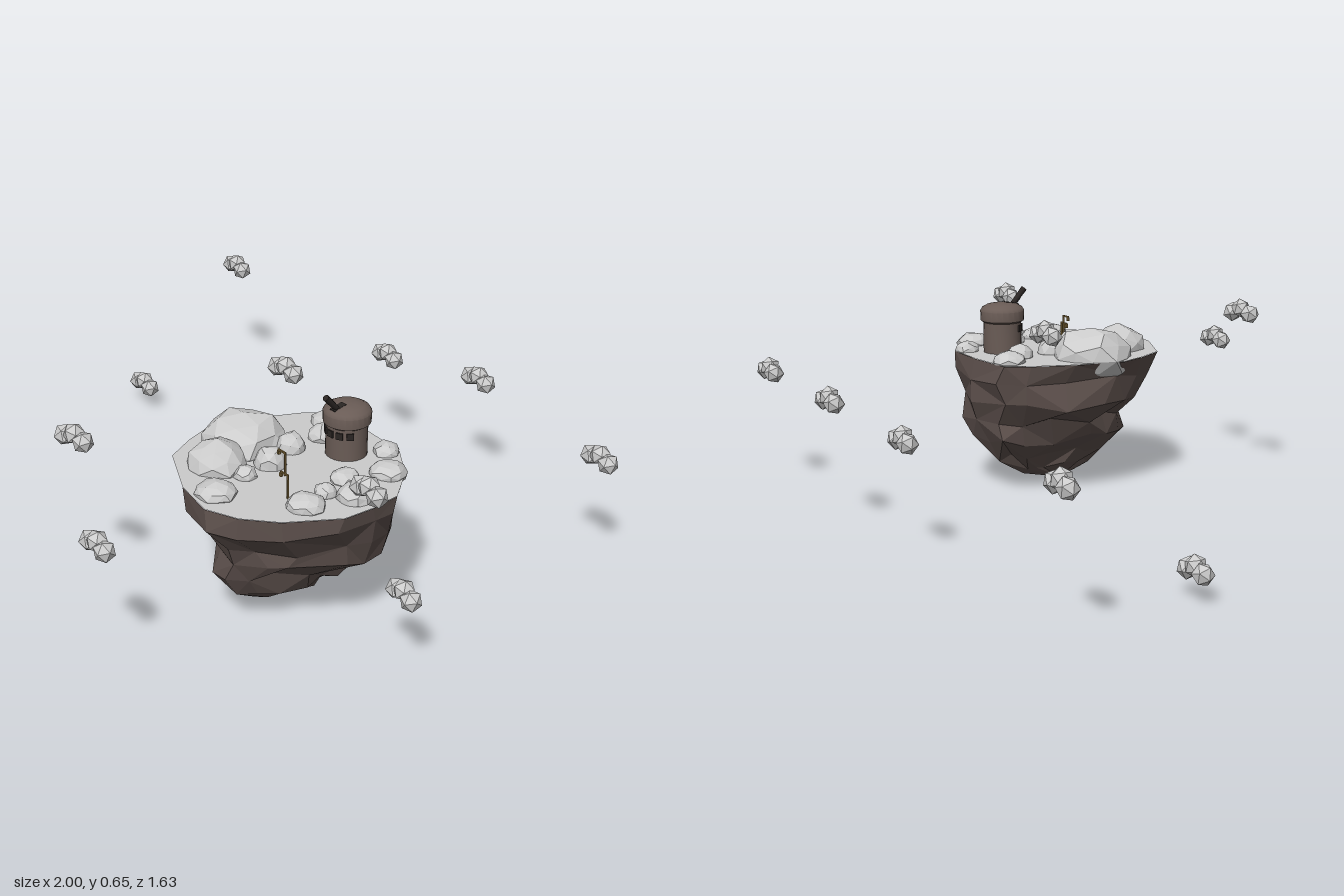
import * as THREE from 'three';
import { toCreasedNormals } from 'three/addons/utils/BufferGeometryUtils.js';

const mat = (color, extra = {}) => new THREE.MeshStandardMaterial({ color, ...extra });
const greyFacet = mat(0xcccccc, { flatShading: true });
const rockMat = mat(0x5f524e, { flatShading: true });
const hutMat = mat(0x6a5c56);
const darkMat = mat(0x2a2523);
const woodMat = mat(0x7a6438);

// Seeded noise in -1..1
function makeRandom(seed) {
  return () => {
    seed = (seed * 16807) % 2147483647;
    return (seed / 2147483647) * 2 - 1;
  };
}

function add(parent, name, geometry, material, x = 0, y = 0, z = 0) {
  const mesh = new THREE.Mesh(geometry, material);
  mesh.name = name;
  mesh.position.set(x, y, z);
  parent.add(mesh);
  return mesh;
}

const GROUND = 0.44;

// Rim of the island, [x, z], clockwise from above
const RIM = [[0.25, -0.2], [0.42, -0.205], [0.57, -0.19], [0.68, -0.11], [0.765, 0], [0.775, 0.1],
  [0.77, 0.2], [0.68, 0.35], [0.59, 0.43], [0.49, 0.47], [0.35, 0.44], [0.18, 0.35],
  [0.13, 0.25], [0.1, 0.16], [0.14, 0], [0.2, -0.13]];

// Rock levels: y, xMin, xMax, zMin, zMax
const LEVELS = [[GROUND, 0.1, 0.775, -0.205, 0.47], [0.375, 0.12, 0.765, -0.2, 0.46],
  [0.3, 0.13, 0.74, -0.195, 0.385], [0.235, 0.22, 0.7, -0.19, 0.365],
  [0.165, 0.25, 0.6, -0.16, 0.37], [0.1, 0.325, 0.55, -0.11, 0.31],
  [0.05, 0.365, 0.49, -0.04, 0.235]];

function islandRock() {
  const random = makeRandom(77);
  const rings = LEVELS.map(([y, x0, x1, z0, z1], level) => RIM.map(([px, pz]) => {
    const j = level === 0 ? 0 : 0.018;
    return [
      x0 + (x1 - x0) * (px - 0.1) / 0.675 + random() * j,
      y + random() * j,
      z0 + (z1 - z0) * (pz + 0.205) / 0.675 + random() * j,
    ];
  }));
  const tip = [0.417, 0, 0.12];
  const points = [];
  const n = RIM.length;
  for (let r = 0; r < rings.length; r++) {
    for (let i = 0; i < n; i++) {
      const k = (i + 1) % n;
      const a = rings[r][i], b = rings[r][k];
      if (r === rings.length - 1) {
        points.push(...a, ...b, ...tip);
        continue;
      }
      const c = rings[r + 1][i], d = rings[r + 1][k];
      if ((i + r) % 2) points.push(...a, ...b, ...c, ...b, ...d, ...c);
      else points.push(...a, ...b, ...d, ...a, ...d, ...c);
    }
  }
  const geometry = new THREE.BufferGeometry();
  geometry.setAttribute('position', new THREE.Float32BufferAttribute(points, 3));
  geometry.computeVertexNormals();
  return geometry;
}

// Faceted mound, roughened by a rule on the vertex position
function moundGeometry(rx, ry, rz, seed) {
  const geometry = new THREE.IcosahedronGeometry(1, 1);
  const p = geometry.attributes.position;
  for (let i = 0; i < p.count; i++) {
    const x = p.getX(i), y = p.getY(i), z = p.getZ(i);
    const s = 1 + 0.09 * Math.sin(5 * x + seed) * Math.cos(4 * z + 2 * seed + 3 * y);
    p.setXYZ(i, x * s * rx, y * s * ry, z * s * rz);
  }
  geometry.computeVertexNormals();
  return geometry;
}

// Mounds: x, z, radius, height
const MOUNDS = [[0.235, 0.125, 0.13, 0.09], [0.305, 0.28, 0.09, 0.075], [0.44, 0.39, 0.062, 0.035],
  [0.4, 0.16, 0.048, 0.055], [0.36, 0.05, 0.045, 0.05], [0.36, -0.07, 0.045, 0.04],
  [0.3, -0.15, 0.055, 0.035], [0.65, 0.24, 0.058, 0.035], [0.7, 0.1, 0.055, 0.04],
  [0.6, 0.05, 0.045, 0.03], [0.65, -0.07, 0.055, 0.035], [0.55, -0.155, 0.04, 0.03],
  [0.63, 0.15, 0.035, 0.03], [0.41, 0.26, 0.035, 0.03]];

// Clouds: x, y, z, turn
const CLOUDS = [[-0.932, 0.405, -0.775, -0.15], [-0.097, 0.35, -0.76, -0.12], [0.297, 0.4, -0.79, -0.08],
  [0.89, 0.385, -0.705, -0.1], [-0.88, 0.085, -0.31, -0.08], [0.118, 0.56, -0.13, 0],
  [0.93, 0.25, 0.118, -0.2], [0.845, 0.56, 0.185, -0.1], [0.095, 0.56, 0.632, 0.18],
  [0.417, 0.41, 0.78, -0.06]];

function cloud(x, y, z, turn) {
  const group = new THREE.Group();
  group.name = 'cloud';
  for (const side of [-1, 0, 1]) {
    const puff = add(group, 'cloudPuff', new THREE.IcosahedronGeometry(0.033, 0), greyFacet,
      side * 0.037, side ? -0.006 : 0.009, 0);
    puff.rotation.set(side * 0.5, side * 0.7, 0.3);
  }
  group.position.set(x, y, z);
  group.rotation.y = turn;
  return group;
}

function hut() {
  const group = new THREE.Group();
  group.name = 'hut';
  // Round wall, overhanging rim and low domed roof
  const profile = [[0, 0], [0.062, 0], [0.062, 0.1], [0.071, 0.106], [0.072, 0.138],
    [0.066, 0.148], [0.05, 0.157], [0.025, 0.162], [0, 0.163]].map(([x, y]) => new THREE.Vector2(x, y));
  add(group, 'hutBody', toCreasedNormals(new THREE.LatheGeometry(profile, 24), 0.6), hutMat);
  // Row of windows around the front
  for (let i = 0; i < 5; i++) {
    const a = (i - 2) * 0.5;
    const win = add(group, 'window', new THREE.BoxGeometry(0.021, 0.021, 0.008), darkMat,
      Math.sin(a) * 0.062, 0.081, Math.cos(a) * 0.062);
    win.rotation.y = a;
  }
  // Roof opening with a slanted tube
  const slit = add(group, 'roofOpening', new THREE.BoxGeometry(0.022, 0.012, 0.045), darkMat, 0, 0.154, 0.035);
  slit.rotation.x = 0.2;
  const tube = add(group, 'telescope', new THREE.CylinderGeometry(0.01, 0.008, 0.085, 10), darkMat, 0, 0.171, 0.056);
  tube.rotation.x = 0.75;
  group.position.set(0.476, GROUND, -0.064);
  return group;
}

// Thin post with an arm and a hanging lamp
function lampPost(x, z) {
  const group = new THREE.Group();
  group.name = 'lampPost';
  add(group, 'post', new THREE.BoxGeometry(0.005, 0.075, 0.005), woodMat, 0, 0.0375, 0);
  add(group, 'arm', new THREE.BoxGeometry(0.034, 0.005, 0.005), woodMat, -0.015, 0.073, 0);
  add(group, 'lamp', new THREE.BoxGeometry(0.008, 0.012, 0.008), woodMat, -0.029, 0.065, 0);
  group.position.set(x, GROUND, z);
  return group;
}

export function createModel() {
  const model = new THREE.Group();
  model.name = 'floatingIsland';

  add(model, 'islandRock', islandRock(), rockMat);
  const rim = new THREE.Shape(RIM.map(([x, z]) => new THREE.Vector2(x, -z)));
  const ground = add(model, 'islandGround', new THREE.ShapeGeometry(rim),
    mat(0xcccccc, { side: THREE.DoubleSide }), 0, GROUND + 0.001, 0);
  ground.rotation.x = -Math.PI / 2;

  MOUNDS.forEach(([x, z, r, h], i) => {
    const mound = add(model, 'mound', moundGeometry(r, h, r, i * 1.7), greyFacet, x, GROUND + 0.004, z);
    mound.rotation.y = i * 1.3;
  });

  model.add(hut(), lampPost(0.585, 0.25), lampPost(0.478, 0.17));
  CLOUDS.forEach((c) => model.add(cloud(...c)));
  return model;
}
